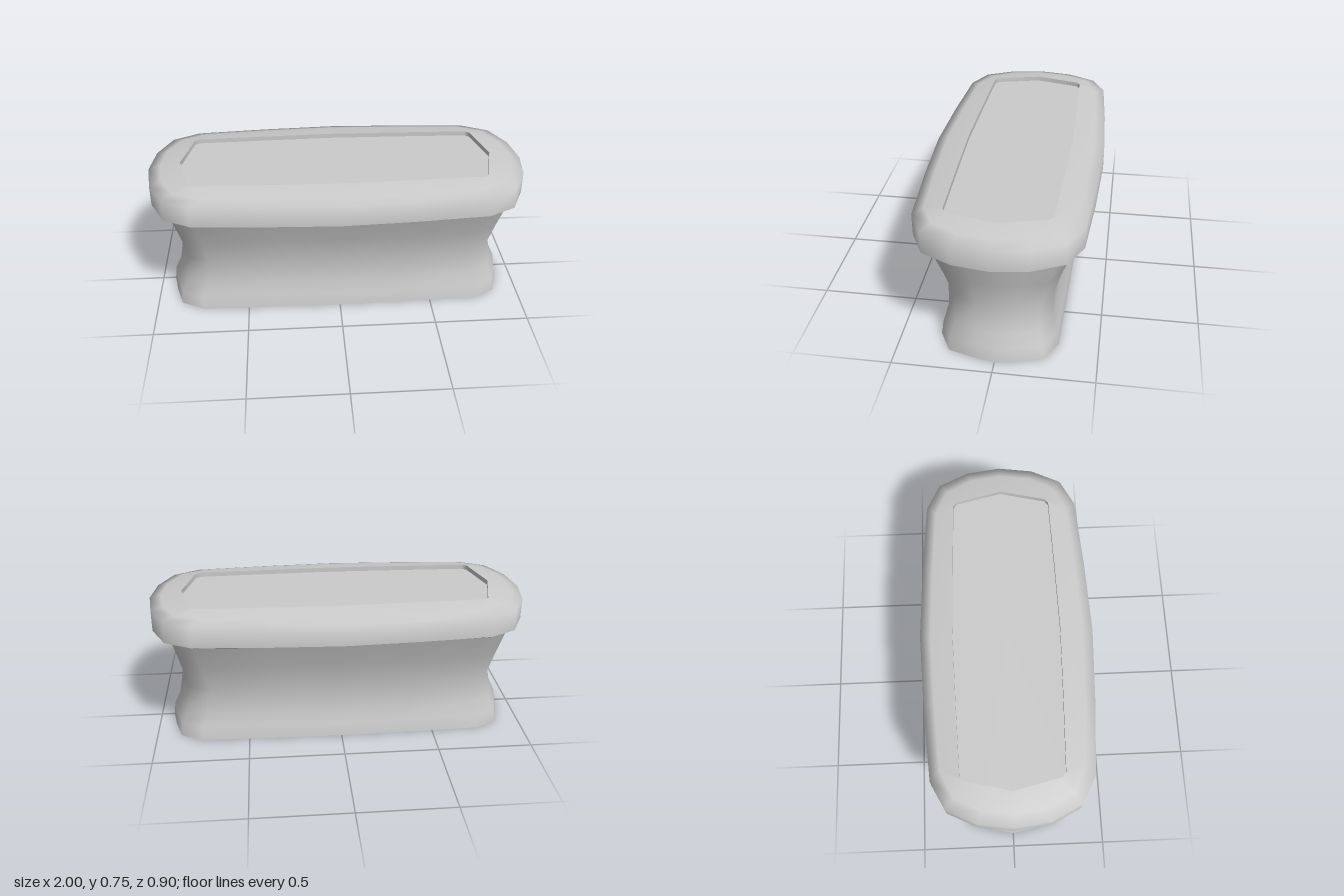
import * as THREE from 'three';

// Quarter outlines from the middle of the front (+z) round to the left end (+x)
const RIM = [[0, 1], [0.38, 0.965], [0.76, 0.905], [0.9, 0.745], [0.975, 0.4], [1, 0]];
const BODY = [[0, 1], [0.4, 0.98], [0.81, 0.95], [0.935, 0.76], [0.975, 0.36], [1, 0]];
const PANEL = [[0, 1], [0.45, 0.97], [0.9, 0.93], [0.93, 0.86], [0.963, 0.45], [1, 0]];

// Mirror a quarter outline into a closed ring at height y
function ring(quarter, y, hx, hz) {
  const q = quarter.map(([x, z]) => [x * hx, z * hz]);
  const back = q.slice(0, -1).reverse().map(([x, z]) => [x, -z]);
  const half = [...q, ...back];
  const other = half.slice(1, -1).reverse().map(([x, z]) => [-x, z]);
  return [...half, ...other].map(([x, z]) => [x, y, z]);
}

// Skin a stack of rings with smooth normals
function loft(name, rings, material) {
  const n = rings[0].length;
  const index = [];
  for (let i = 0; i < rings.length - 1; i++) {
    for (let j = 0; j < n; j++) {
      const a = i * n + j;
      const b = i * n + (j + 1) % n;
      index.push(a, b, b + n, a, b + n, a + n);
    }
  }
  const geometry = new THREE.BufferGeometry();
  geometry.setAttribute('position', new THREE.Float32BufferAttribute(rings.flat(2), 3));
  geometry.setIndex(index);
  geometry.computeVertexNormals();
  const mesh = new THREE.Mesh(geometry, material);
  mesh.name = name;
  return mesh;
}

export function createModel() {
  const group = new THREE.Group();
  group.name = 'pedestalBlock';
  const grey = new THREE.MeshStandardMaterial({ color: 0xcccccc });
  const add = (name, levels) =>
    group.add(loft(name, levels.map(([q, y, hx, hz]) => ring(q, y, hx, hz)), grey));

  // Flat underside
  add('bottom', [[BODY, 0, 0, 0], [BODY, 0, 0.93, 0.315]]);

  // Waisted body with a flared foot
  add('body', [
    [BODY, 0, 0.93, 0.315],
    [BODY, 0.073, 0.92, 0.305],
    [BODY, 0.145, 0.885, 0.278],
    [BODY, 0.29, 0.86, 0.278],
    [BODY, 0.44, 0.897, 0.323],
    [BODY, 0.58, 0.93, 0.38],
  ]);

  // Sloping ledge beneath the rim
  add('ledge', [[BODY, 0.58, 0.93, 0.38], [RIM, 0.605, 1, 0.45]]);

  // Rounded rim rolling over to the recess
  add('rim', [
    [RIM, 0.605, 1, 0.45],
    [RIM, 0.717, 1, 0.45],
    [RIM, 0.735, 0.94, 0.395],
    [PANEL, 0.753, 0.83, 0.28],
  ]);

  // Shallow recess in the top
  add('recessWall', [[PANEL, 0.753, 0.83, 0.28], [PANEL, 0.728, 0.83, 0.28]]);
  add('recessFloor', [[PANEL, 0.728, 0.83, 0.28], [PANEL, 0.728, 0, 0]]);

  return group;
}
